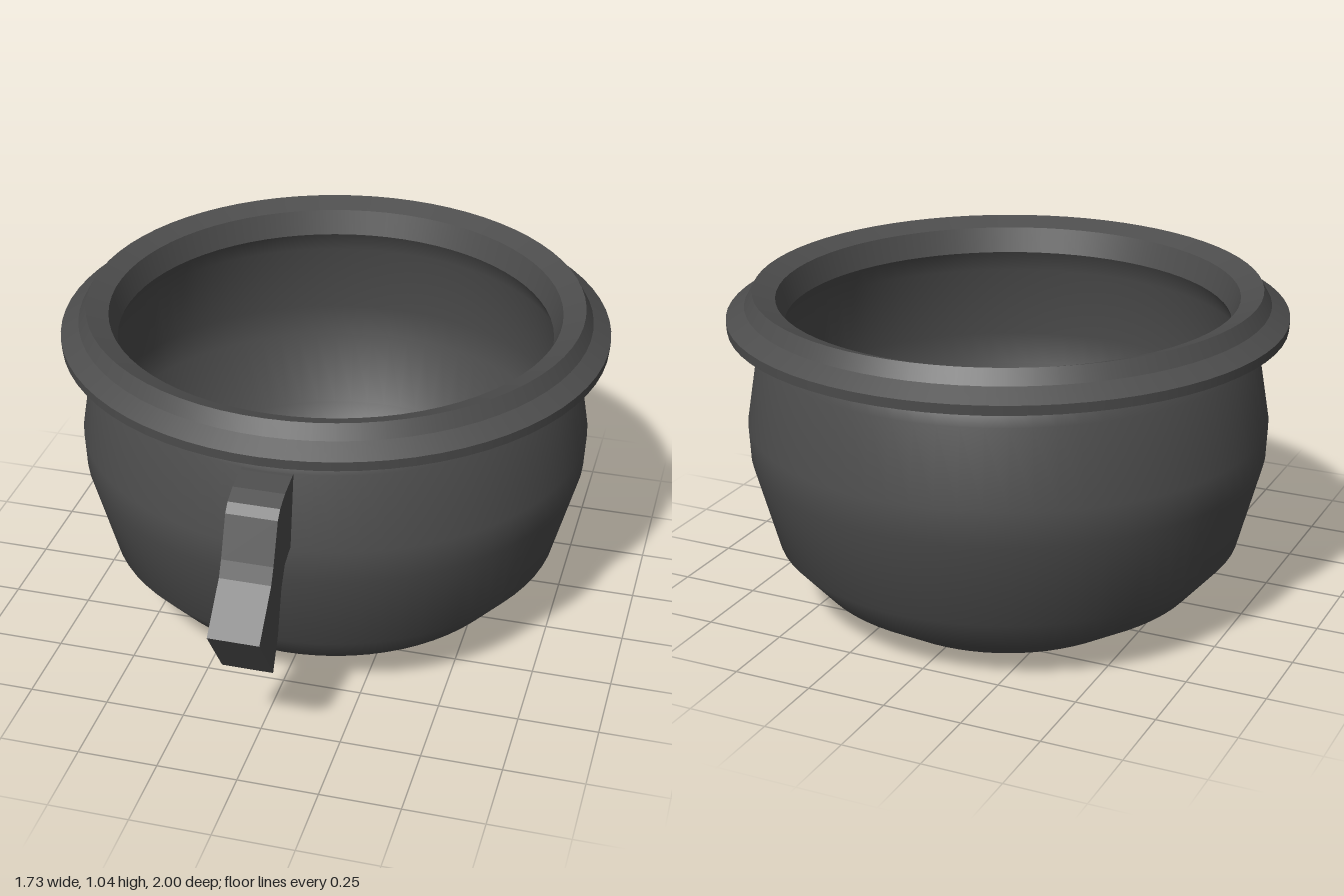
import * as THREE from 'three';

const SEGMENTS = 72;
const BOWL_Z = -0.135; // bowl axis sits behind the origin to balance the handle

export function createModel() {
  const model = new THREE.Group();
  const iron = new THREE.MeshStandardMaterial({ color: 0x4d4d4d });
  iron.name = 'dark iron';

  const add = (name, geometry, parent) => {
    const mesh = new THREE.Mesh(geometry, iron);
    mesh.name = name;
    parent.add(mesh);
    return mesh;
  };
  // Smooth surface of revolution from [radius, height] pairs
  const lathe = (name, profile, parent) =>
    add(name, new THREE.LatheGeometry(profile.map(([r, y]) => new THREE.Vector2(r, y)), SEGMENTS), parent);

  const bowl = new THREE.Group();
  bowl.name = 'bowl';
  bowl.position.z = BOWL_Z;
  model.add(bowl);

  // Outer wall and underside
  lathe('base', [[0, 0], [0.46, 0]], bowl);
  lathe('outerWall', [
    [0.46, 0], [0.62, 0.1], [0.735, 0.23], [0.81, 0.51],
    [0.815, 0.62], [0.775, 0.86], [0.74, 0.915], [0.735, 0.93],
  ], bowl);

  // Inner wall and floor
  lathe('innerWall', [
    [0.69, 0.935], [0.73, 0.86], [0.765, 0.62], [0.76, 0.51],
    [0.69, 0.27], [0.59, 0.14], [0.485, 0.06],
  ], bowl);
  lathe('floor', [[0.485, 0.06], [0, 0.05]], bowl);

  // Flared rim, one band per pair of points so the edges stay sharp
  const rim = new THREE.Group();
  rim.name = 'rim';
  bowl.add(rim);
  const rimProfile = [
    [0.735, 0.93], [0.865, 0.93], [0.867, 0.96], [0.81, 0.995],
    [0.785, 1.04], [0.715, 1.015], [0.69, 0.935],
  ];
  for (let i = 0; i < rimProfile.length - 1; i++) {
    lathe('rimBand' + (i + 1), [rimProfile[i], rimProfile[i + 1]], rim);
  }

  // Curled handle: side outline in [z, y], extruded across x
  const outline = [
    [0.62, 0.86], [0.65, 0.858], [0.725, 0.845], [0.775, 0.825], [0.8, 0.8],
    [0.85, 0.675], [0.875, 0.627], [1.0, 0.503], [0.87, 0.315], [0.815, 0.412],
    [0.773, 0.552], [0.735, 0.61], [0.69, 0.627], [0.64, 0.635],
  ].map(([z, y]) => new THREE.Vector2(z, y));
  const width = 0.156;
  const handle = new THREE.ExtrudeGeometry(new THREE.Shape(outline), { depth: width, bevelEnabled: false });
  handle.translate(0, 0, -width / 2).rotateY(-Math.PI / 2);
  add('handle', handle, model);

  return model;
}
